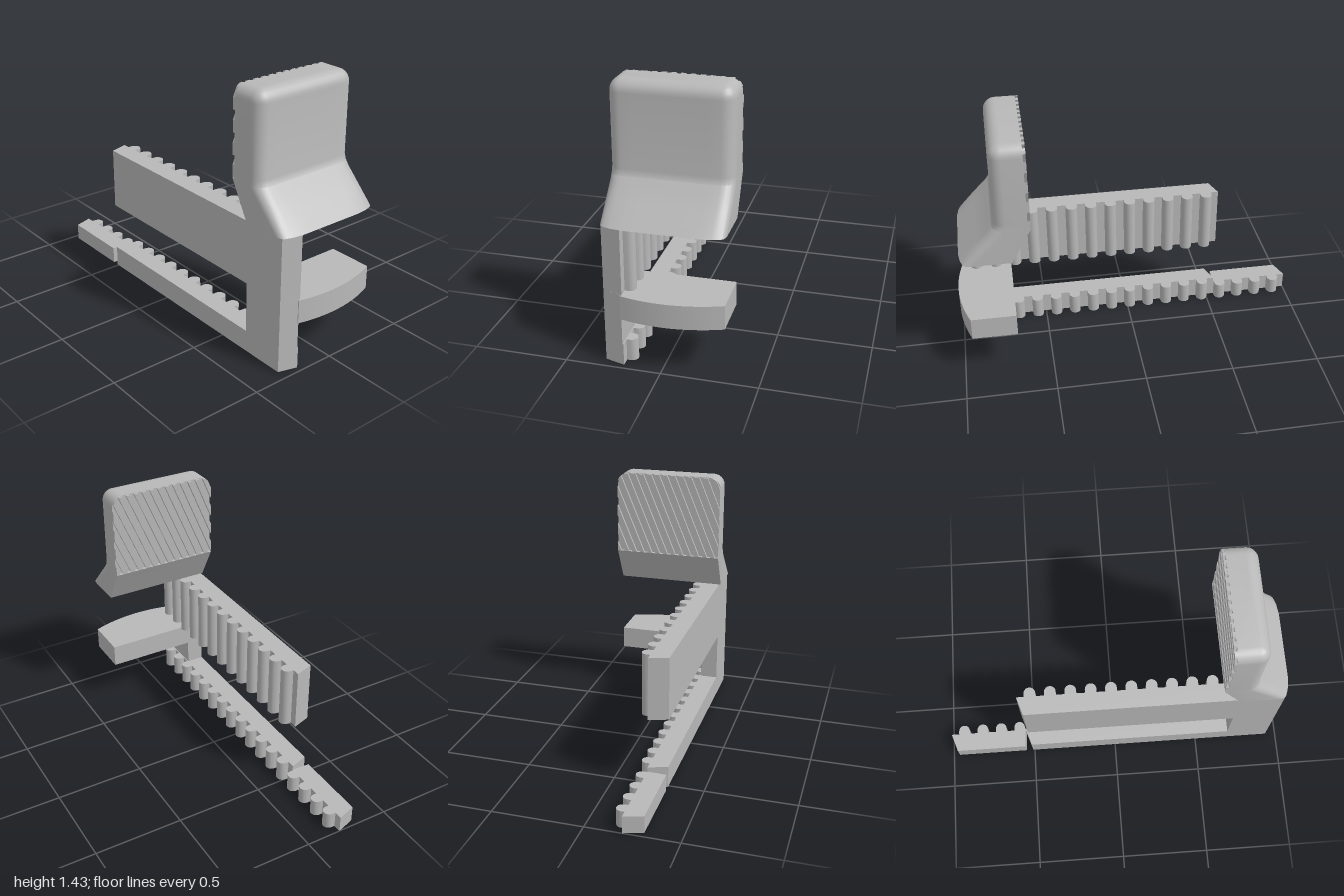
import * as THREE from 'three';
import { toCreasedNormals } from 'three/addons/utils/BufferGeometryUtils.js';

const HALF = 0.315;   // half depth of head and tab
const ROUND = 0.065;  // edge rounding of the head
const grey = new THREE.MeshStandardMaterial({ color: 0xb8b8b8 });
grey.name = 'plain grey';

// bowed outer limit shared by head and tab
const bow = z => 1.0 - 0.06 * (z / HALF) ** 2;

function add(group, name, geometry) {
  const mesh = new THREE.Mesh(geometry, grey);
  mesh.name = name;
  group.add(mesh);
}

// vertical prism from a plan outline of [x, z] points
function prism(points, y0, y1) {
  const shape = new THREE.Shape(points.map(([x, z]) => new THREE.Vector2(x, -z)));
  const g = new THREE.ExtrudeGeometry(shape, { depth: y1 - y0, bevelEnabled: false });
  g.rotateX(-Math.PI / 2).translate(0, y0, 0);
  return toCreasedNormals(g, 0.6);
}

// plan section of the head: square inner edge, rounded outer corners
function headSection(y, xi, xo, inset) {
  const hz = HALF - inset, r = Math.max(ROUND - inset, 0.005), pts = [[xi, -hz]];
  for (let i = 0; i <= 6; i++) {
    const a = (i / 6) * Math.PI / 2;
    pts.push([xo - r + r * Math.sin(a), -hz + r - r * Math.cos(a)]);
  }
  for (let i = 1; i < 8; i++) pts.push([xo, (hz - r) * (i / 4 - 1)]);
  for (let i = 0; i <= 6; i++) {
    const a = (i / 6) * Math.PI / 2;
    pts.push([xo - r + r * Math.cos(a), hz - r + r * Math.sin(a)]);
  }
  pts.push([xi, hz]);
  return pts.map(([x, z]) => [Math.min(x, bow(z)), y, z]);
}

// skin stacked sections and cap both ends
function loft(rings) {
  const n = rings[0].length, pos = rings.flat(2), idx = [];
  for (let k = 0; k < rings.length - 1; k++) {
    for (let i = 0; i < n; i++) {
      const a = k * n + i, b = k * n + (i + 1) % n;
      idx.push(a, a + n, b, b, a + n, b + n);
    }
  }
  const cap = (k, top) => {
    const c = pos.length / 3, ring = rings[k];
    pos.push(...[0, 1, 2].map(d => ring.reduce((s, p) => s + p[d], 0) / n));
    for (let i = 0; i < n; i++) {
      const a = k * n + i, b = k * n + (i + 1) % n;
      idx.push(c, top ? b : a, top ? a : b);
    }
  };
  cap(0, false);
  cap(rings.length - 1, true);
  const g = new THREE.BufferGeometry();
  g.setAttribute('position', new THREE.Float32BufferAttribute(pos, 3));
  g.setIndex(idx);
  return toCreasedNormals(g, 0.55);
}

// keep the part of a convex polygon where f >= 0
function clip(poly, f) {
  const out = [];
  poly.forEach((p, i) => {
    const q = poly[(i + 1) % poly.length], fp = f(p), fq = f(q);
    if (fp >= 0) out.push(p);
    if (fp * fq < 0) {
      const t = fp / (fp - fq);
      out.push([p[0] + (q[0] - p[0]) * t, p[1] + (q[1] - p[1]) * t]);
    }
  });
  return out;
}

function buildHead() {
  const head = new THREE.Group();
  head.name = 'head';
  // [y, inner x, outer x, inset]
  const levels = [
    [0.75, 0.69, 0.97, 0], [0.85, 0.635, 0.872, 0], [0.92, 0.597, 0.803, 0],
    [0.95, 0.58, 0.782, 0], [0.952, 0.595, 0.78, 0], [0.985, 0.595, 0.77, 0],
  ];
  for (let i = 0; i <= 6; i++) {
    const a = (i / 6) * Math.PI / 2, inset = ROUND * (1 - Math.cos(a));
    levels.push([1.37 + ROUND * Math.sin(a), 0.595, 0.77 - inset, inset]);
  }
  add(head, 'headBody', loft(levels.map(l => headSection(...l))));

  // diagonal grip ridges on the inner face, trimmed to its outline in [z, y]
  const face = [[-HALF, 0.95], [HALF, 0.95]];
  for (let i = 0; i <= 10; i++) {
    const a = (i / 10) * Math.PI, side = i < 5 ? 1 : i > 5 ? -1 : 0;
    face.push([side * (HALF - ROUND) + ROUND * Math.cos(a) * Math.abs(side),
      1.37 + ROUND * (side ? Math.sin(a) : 1)]);
  }
  const slope = 0.42, pitch = 0.049;
  for (let u = -0.32; u < 0.56; u += pitch) {
    const along = p => p[0] + slope * (p[1] - 0.95);
    let strip = clip(face, p => along(p) - u);
    strip = clip(strip, p => u + pitch * 0.55 - along(p));
    if (strip.length < 3) continue;
    const shape = new THREE.Shape(strip.map(([z, y]) => new THREE.Vector2(-z, y)));
    const g = new THREE.ExtrudeGeometry(shape, { depth: 0.017, bevelEnabled: false });
    g.rotateY(Math.PI / 2).translate(0.58, 0, 0);
    add(head, 'gripRidge', g);
  }
  return head;
}

export function createModel() {
  const model = new THREE.Group();
  model.name = 'ribbedBracket';

  // flat bars with angled ends
  const bar = [[-0.545, 0.2], [0.97, 0.2], [0.94, 0.305], [-0.51, 0.305]];
  add(model, 'upperBar', prism(bar, 0.4, 0.75));
  add(model, 'lowerBar', prism(bar, 0, 0.12));
  add(model, 'barExtension',
    prism([[-1, 0.2], [-0.545, 0.2], [-0.55, 0.305], [-0.965, 0.305]], 0, 0.095));
  add(model, 'post', prism([[0.69, 0.205], [0.97, 0.205], [0.94, 0.305], [0.69, 0.305]], 0.12, 0.4));

  // round-nosed ribs along the back of the bars
  for (let i = 0; i < 17; i++) {
    const x = -0.922 + i * 0.1132, r = 0.0325, outline = [[x - r, 0.205]];
    for (let j = 0; j <= 10; j++) {
      const a = (j / 10) * Math.PI;
      outline.push([x - r * Math.cos(a), 0.18 - r * Math.sin(a)]);
    }
    outline.push([x + r, 0.205]);
    add(model, 'lowerRib', prism(outline, 0, i < 4 ? 0.095 : 0.12));
    if (i > 3) add(model, 'upperRib', prism(outline, 0.4, 0.75));
  }

  // bowed tab reaching back from the post
  const tab = [[0.69, 0.21], [0.69, -HALF]];
  for (let i = 0; i <= 14; i++) {
    const z = -HALF + (0.21 + HALF) * i / 14;
    tab.push([bow(z), z]);
  }
  add(model, 'tab', prism(tab, 0.265, 0.395));

  model.add(buildHead());
  return model;
}
